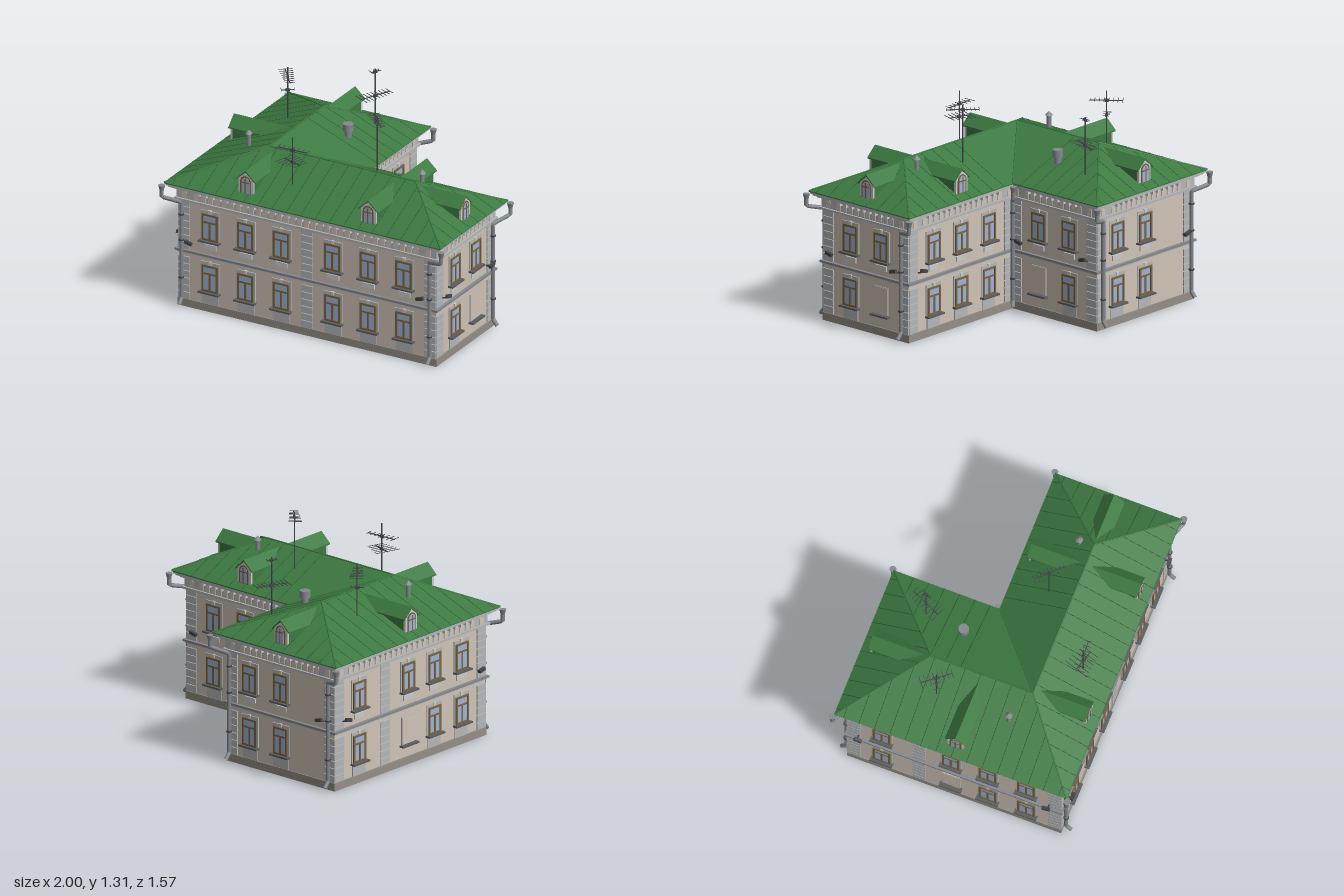
import * as THREE from 'three';

const mat = (color, side = THREE.FrontSide) => new THREE.MeshStandardMaterial({ color, side });
const M = {
  wall: mat(0xcfc3b6), trim: mat(0xb4b6b8), pale: mat(0xc4c4c3), plinth: mat(0x948e86), sill: mat(0x5c5d61),
  wood: mat(0x7d6440), glass: mat(0x9fb3d2), roof: mat(0x3d7a42, THREE.DoubleSide), seam: mat(0x2a5a30),
  pipe: mat(0x85888e), dark: mat(0x44464a),
};

function add(parent, name, geo, material, x = 0, y = 0, z = 0) {
  const m = new THREE.Mesh(geo, material);
  m.name = name;
  m.position.set(x, y, z);
  parent.add(m);
  return m;
}
const box = (p, name, material, w, h, d, x, y, z) => add(p, name, new THREE.BoxGeometry(w, h, d), material, x, y, z);

// Thin round bar between two points
function bar(p, name, a, b, r, material, sides = 5) {
  const m = add(p, name, new THREE.CylinderGeometry(r, r, a.distanceTo(b), sides), material);
  m.position.copy(a).lerp(b, 0.5);
  m.quaternion.setFromUnitVectors(new THREE.Vector3(0, 1, 0), b.clone().sub(a).normalize());
}

// L-shaped plan, grown outward by d
const plan = (d) => [[-0.9 - d, 0.69 + d], [0.9 + d, 0.69 + d], [0.9 + d, -d], [-0.04 + d, -d],
  [-0.04 + d, -0.69 - d], [-0.9 - d, -0.69 - d]].map(([x, z]) => new THREE.Vector2(x, -z));

function band(p, name, y0, y1, d, material, hollow) {
  const s = new THREE.Shape(plan(d));
  if (hollow) s.holes.push(new THREE.Path(plan(-0.006)));
  const g = new THREE.ExtrudeGeometry(s, { depth: y1 - y0, bevelEnabled: false }).rotateX(-Math.PI / 2);
  add(p, name, g, material, 0, y0, 0);
}

// Round-headed panel standing on y = 0
function archGeo(w, h, depth) {
  const s = new THREE.Shape();
  s.moveTo(-w / 2, 0).lineTo(w / 2, 0).lineTo(w / 2, h - w / 2).absarc(0, h - w / 2, w / 2, 0, Math.PI).lineTo(-w / 2, 0);
  return new THREE.ExtrudeGeometry(s, { depth, bevelEnabled: false, curveSegments: 6 });
}

// Sash window with surround, sill and apron; blind ones are plain panels
function makeWindow(p, u, y, upper, blind) {
  const g = new THREE.Group();
  g.name = blind ? 'blindWindow' : 'window';
  g.position.set(u, y, 0);
  p.add(g);
  const H = 0.175, W = 0.112;
  box(g, 'sill', M.sill, 0.145, 0.011, 0.05, 0, -0.006, 0.008);
  if (blind) {
    box(g, 'blindPanel', M.trim, W + 0.006, H + 0.004, 0.012, 0, H / 2, 0);
    box(g, 'blindInfill', M.wall, W - 0.002, H - 0.004, 0.016, 0, H / 2, 0);
  } else {
    box(g, 'surround', M.trim, W + 0.022, H + 0.02, 0.014, 0, H / 2 + 0.01, 0);
    box(g, 'glass', M.glass, W - 0.01, H - 0.01, 0.02, 0, H / 2, 0);
    for (const s of [-1, 1]) {
      box(g, 'jamb', M.wood, 0.013, H, 0.03, s * (W / 2 - 0.006), H / 2, 0);
      box(g, 'rail', M.wood, W, 0.012, 0.03, 0, H / 2 + s * (H / 2 - 0.006), 0);
    }
    box(g, 'transom', M.wood, W, 0.011, 0.026, 0, H * 0.68, 0);
    box(g, 'mullion', M.wood, 0.013, H * 0.68, 0.026, 0, H * 0.34, 0);
    box(g, 'keystone', M.pale, 0.02, 0.022, 0.024, 0, H + 0.014, 0);
  }
  if (upper) box(g, 'apron', M.pale, 0.085, 0.032, 0.016, 0, -0.045, 0);
  else if (!blind) box(g, 'apron', M.trim, 0.115, 0.075, 0.01, 0, -0.05, 0);
}

// Dormer facing local +z, running back by len
function makeDormer(p, x, z, ry, len) {
  const g = new THREE.Group();
  g.name = 'dormer';
  g.position.set(x, 0.83, z);
  g.rotation.y = ry;
  p.add(g);
  const shape = (pts) => new THREE.Shape(pts.map(([a, b]) => new THREE.Vector2(a, b)));
  const ext = (s, depth) => new THREE.ExtrudeGeometry(s, { depth, bevelEnabled: false });
  const gable = shape([[-0.053, 0], [0.053, 0], [0.053, 0.115], [0, 0.16], [-0.053, 0.115]]);
  add(g, 'dormerBody', ext(gable, len - 0.02), M.roof, 0, 0, -len);
  add(g, 'dormerFace', ext(gable, 0.015), M.pale, 0, 0, -0.02);
  add(g, 'dormerRoof', ext(shape([[-0.069, 0.1], [0, 0.162], [0.069, 0.1], [0.069, 0.108], [0, 0.172], [-0.069, 0.108]]), len), M.roof, 0, 0, -len);
  add(g, 'dormerFrame', archGeo(0.074, 0.122, 0.006), M.wood, 0, 0.014, -0.006);
  add(g, 'dormerGlass', archGeo(0.056, 0.104, 0.006), M.glass, 0, 0.023, -0.004);
  box(g, 'dormerMullion', M.wood, 0.007, 0.1, 0.006, 0, 0.072, 0.002);
  box(g, 'dormerTransom', M.wood, 0.056, 0.007, 0.006, 0, 0.095, 0.002);
  box(g, 'dormerSill', M.trim, 0.12, 0.012, 0.02, 0, 0.008, -0.004);
}

// Wall camera on a short bracket
function makeCamera(p, u, s) {
  const g = new THREE.Group();
  g.name = 'wallCamera';
  g.position.set(u, 0.44, 0);
  p.add(g);
  bar(g, 'bracket', new THREE.Vector3(0, -0.01, 0), new THREE.Vector3(0, 0, 0.04), 0.005, M.dark);
  box(g, 'cameraBody', M.dark, 0.05, 0.02, 0.02, s * 0.008, 0.008, 0.045).rotation.z = -s * 0.25;
}

function makeRoof(p) {
  const g = new THREE.Group();
  g.name = 'roof';
  p.add(g);
  const v = (x, z, y = 0.825) => new THREE.Vector3(x, y, z);
  const A = v(-0.97, 0.755), B = v(0.97, 0.755), C = v(0.97, -0.065), D = v(0.03, -0.065), E = v(0.03, -0.755), F = v(-0.97, -0.755);
  const P = v(-0.47, 0.345, 1.02), Q = v(0.56, 0.345, 1.02), R = v(-0.47, -0.32, 1.02);
  // corners (eave edge first), uphill direction, run, and hip set-back at each eave end
  const slopes = [
    [[A, B, Q, P], [0, -1], 0.41, 0.5, 0.41], [[B, C, Q], [-1, 0], 0.41, 0.41, 0.41],
    [[C, D, P, Q], [0, 1], 0.41, 0.41, 0], [[D, E, R, P], [-1, 0], 0.5, 0, 0.435],
    [[E, F, R], [0, 1], 0.435, 0.5, 0.5], [[F, A, P, R], [1, 0], 0.5, 0.435, 0.41],
  ];
  for (const [c, [dx, dz], run, l0, l1] of slopes) {
    const tri = c.length === 4 ? [c[0], c[1], c[2], c[0], c[2], c[3]] : c;
    const geo = new THREE.BufferGeometry().setFromPoints(tri);
    geo.computeVertexNormals();
    add(g, 'roofSlope', geo, M.roof);
    // standing seams
    const L = c[0].distanceTo(c[1]);
    for (let s = 0.06; s < L - 0.03; s += 0.1) {
      const k = Math.min(1, s / l0, (L - s) / l1);
      const a = c[0].clone().lerp(c[1], s / L);
      bar(g, 'seam', a, a.clone().add(new THREE.Vector3(dx * run * k, 0.195 * k, dz * run * k)), 0.0018, M.seam, 4);
    }
  }
  for (const [a, b] of [[A, P], [B, Q], [C, Q], [D, P], [E, R], [F, R], [P, Q], [P, R]]) bar(g, 'ridgeCap', a, b, 0.005, M.roof, 6);
}

// Mast with aerials: [height, boom length, boom angle, rods, rod length]
function makeAntenna(p, x, z, y0, y1, aerials) {
  const g = new THREE.Group();
  g.name = 'antenna';
  g.position.set(x, 0, z);
  p.add(g);
  bar(g, 'mast', new THREE.Vector3(0, y0, 0), new THREE.Vector3(0, y1, 0), 0.004, M.dark);
  for (const [y, len, ang, n, rod] of aerials) {
    const a = new THREE.Group();
    a.name = 'aerial';
    a.position.y = y;
    a.rotation.y = ang;
    g.add(a);
    box(a, 'boom', M.dark, len, 0.005, 0.005, 0, 0, 0);
    for (let i = 0; i < n; i++) box(a, 'rod', M.dark, 0.003, 0.003, rod * (1 - 0.4 * i / n), len * (i / (n - 1) - 0.5), 0.003, 0);
    box(a, 'clamp', M.dark, 0.025, 0.016, 0.014, 0, 0, 0);
  }
}

export function createModel() {
  const root = new THREE.Group();
  root.name = 'house';

  // Walls, string course and cornice
  band(root, 'walls', 0.04, 0.72, 0, M.wall, true);
  band(root, 'plinth', 0, 0.05, 0.008, M.plinth, true);
  band(root, 'stringCourseLower', 0.358, 0.368, 0.01, M.trim, true);
  band(root, 'stringCourse', 0.368, 0.382, 0.02, M.pipe, true);
  [[0.708, 0.722, 0.024], [0.722, 0.782, 0.012], [0.782, 0.794, 0.032], [0.794, 0.806, 0.05], [0.806, 0.82, 0.062]]
    .forEach(([a, b, d]) => band(root, 'cornice', a, b, d, M.trim, false));
  band(root, 'eaves', 0.818, 0.825, 0.068, M.roof, false);

  // Facades: angle, distance along normal, extent, windows, blind lower bays, pilasters, camera spots
  const q = Math.PI / 2;
  const facades = [
    ['frontFacade', 0, 0.69, -0.9, 0.9, [-0.68, -0.43, -0.18, 0.18, 0.43, 0.68], [], [0], [-0.82, 0.82]],
    ['rightFacade', q, 0.9, -0.69, 0, [-0.47, -0.22], [-0.22], [], [-0.62, -0.08]],
    ['courtSideFacade', q, -0.04, 0, 0.69, [0.22, 0.47], [0.22], [], [0.08, 0.62]],
    ['courtBackFacade', 2 * q, 0, -0.9, 0.04, [-0.68, -0.43, -0.18], [], [], [-0.82]],
    ['backFacade', 2 * q, 0.69, 0.04, 0.9, [0.22, 0.47], [], [], [0.82]],
    ['leftFacade', -q, 0.9, -0.69, 0.69, [-0.47, -0.02, 0.22, 0.47], [-0.02], [-0.23], [-0.62, 0.62]],
  ];
  for (const [name, ry, dist, a, b, wins, blinds, pilasters, cams] of facades) {
    const g = new THREE.Group();
    g.name = name;
    g.rotation.y = ry;
    g.position.set(Math.sin(ry) * dist, 0, Math.cos(ry) * dist);
    root.add(g);
    for (const u of wins) {
      makeWindow(g, u, 0.477, true, false);
      makeWindow(g, u, 0.135, false, blinds.includes(u));
    }
    for (const u of cams) makeCamera(g, u, u > (a + b) / 2 ? -1 : 1);
    // rusticated corner strips and pilasters
    for (const u of [a + 0.037, b - 0.037, ...pilasters])
      for (let i = 0; i < 14; i++) {
        const y = 0.074 + i * 0.0475;
        if (Math.abs(y - 0.37) > 0.024) box(g, 'quoin', M.trim, 0.08, 0.043, 0.014, u, y, 0.001);
      }
    // arcaded frieze and brackets
    const n = Math.round((b - a - 0.26) / 0.048);
    for (let i = 0; i <= n; i++) {
      const u = a + 0.13 + (b - a - 0.26) * i / n;
      add(g, 'friezeArch', archGeo(0.033, 0.05, 0.006), M.wall, u, 0.726, 0.01);
      if (i < n) box(g, 'bracket', M.pale, 0.014, 0.03, 0.03, u + 0.024, 0.78, 0.02);
    }
    for (const u of [a + 0.045, b - 0.045]) add(g, 'friezeArch', archGeo(0.036, 0.05, 0.006), M.wall, u, 0.726, 0.01);
  }

  makeRoof(root);
  makeDormer(root, -0.43, 0.7, 0, 0.33);
  makeDormer(root, 0.43, 0.7, 0, 0.33);
  makeDormer(root, 0.43, -0.015, 2 * q, 0.33);
  makeDormer(root, -0.47, -0.7, 2 * q, 0.37);
  makeDormer(root, -0.91, 0.01, -q, 0.41);
  makeDormer(root, 0.91, 0.34, q, 0.34);

  // Downpipes: head x, z, pipe x, z, foot direction x, z
  for (const [hx, hz, px, pz, fx, fz] of [
    [-0.98, 0.765, -0.87, 0.716, 0, 1], [0.98, 0.765, 0.87, 0.716, 0, 1], [0.98, -0.075, 0.926, 0.04, 1, 0],
    [0.04, -0.08, -0.012, -0.028, 1, -1], [0.04, -0.765, -0.07, -0.716, 0, -1], [-0.98, -0.765, -0.87, -0.716, 0, -1]]) {
    const pts = [[hx, 0.79, hz], [hx, 0.745, hz], [hx, 0.73, hz], [px, 0.7, pz], [px, 0.68, pz], [px, 0.06, pz],
      [px + fx * 0.03, 0.025, pz + fz * 0.03]].map((c) => new THREE.Vector3(...c));
    const path = new THREE.CatmullRomCurve3(pts, false, 'catmullrom', 0);
    add(root, 'downpipe', new THREE.TubeGeometry(path, 60, 0.013, 8), M.pipe);
    add(root, 'rainHead', new THREE.CylinderGeometry(0.022, 0.013, 0.035, 10), M.pipe, hx, 0.79, hz);
    for (const y of [0.2, 0.45, 0.62]) add(root, 'pipeClip', new THREE.CylinderGeometry(0.017, 0.017, 0.01, 8), M.dark, px, y, pz);
  }

  // Roof vents
  add(root, 'ventPipe', new THREE.CylinderGeometry(0.022, 0.022, 0.1, 14), M.pipe, -0.23, 0.95, -0.2);
  add(root, 'ventCollar', new THREE.CylinderGeometry(0.033, 0.033, 0.045, 14), M.pipe, -0.23, 0.985, -0.2);
  for (const [x, z, y] of [[-0.66, 0.26, 1.0], [0.55, 0.25, 1.01]]) {
    add(root, 'fluePipe', new THREE.CylinderGeometry(0.014, 0.014, 0.13, 10), M.pipe, x, y - 0.045, z);
    add(root, 'flueCap', new THREE.ConeGeometry(0.024, 0.025, 10), M.pipe, x, y + 0.038, z);
  }

  makeAntenna(root, -0.66, -0.21, 0.9, 1.28, [[1.22, 0.2, -0.9, 8, 0.09], [1.13, 0.08, 0.6, 3, 0.05]]);
  makeAntenna(root, -0.19, -0.46, 0.9, 1.28, [[1.26, 0.06, 1.1, 3, 0.05], [1.1, 0.21, 1.15, 9, 0.12]]);
  makeAntenna(root, 0.2, 0.19, 0.93, 1.31, [[1.28, 0.2, -0.8, 9, 0.08]]);
  makeAntenna(root, -0.18, 0.56, 0.9, 1.23, [[1.145, 0.2, 0.05, 7, 0.08], [1.065, 0.14, -0.3, 6, 0.17]]);
  return root;
}
